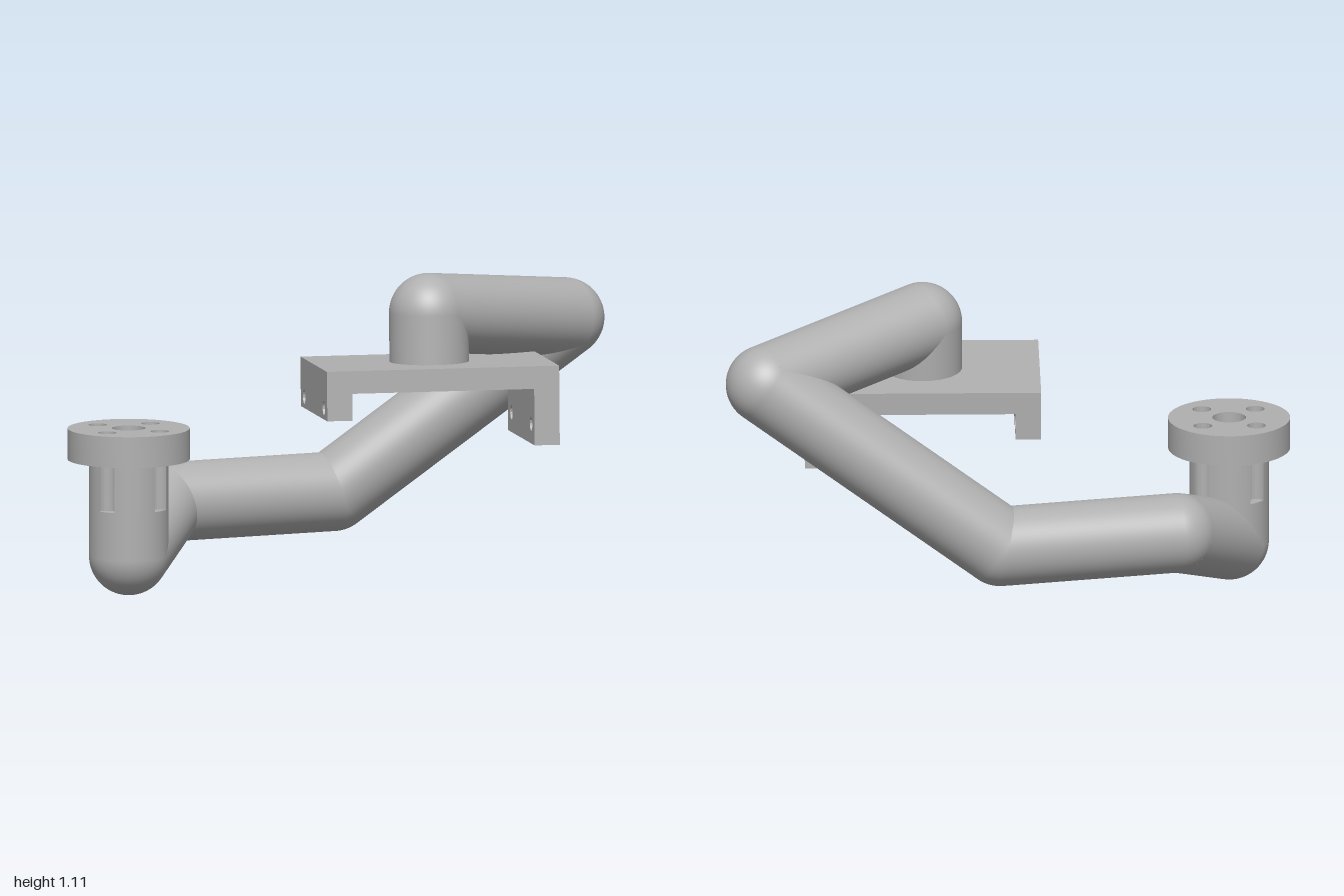
import * as THREE from 'three';
import { toCreasedNormals } from 'three/addons/utils/BufferGeometryUtils.js';

const grey = new THREE.MeshStandardMaterial({ color: 0xb0b0b0 });
grey.name = 'plain grey';
const R = 0.14; // tube radius

function add(parent, name, geometry) {
  const mesh = new THREE.Mesh(geometry, grey);
  mesh.name = name;
  parent.add(mesh);
  return mesh;
}

function extrude(shape, depth) {
  const g = new THREE.ExtrudeGeometry(shape, { depth, bevelEnabled: false, curveSegments: 32 });
  return toCreasedNormals(g, 0.6);
}

function hole(shape, x, y, r) {
  const path = new THREE.Path();
  path.absarc(x, y, r, 0, Math.PI * 2, true);
  shape.holes.push(path);
}

// Straight round tube between two points
function tube(parent, name, a, b) {
  const dir = b.clone().sub(a);
  const mesh = add(parent, name, new THREE.CylinderGeometry(R, R, dir.length(), 64));
  mesh.position.copy(a).add(b).multiplyScalar(0.5);
  mesh.quaternion.setFromUnitVectors(new THREE.Vector3(0, 1, 0), dir.normalize());
}

// Bracket leg: side plate with two cross holes, extruded along x
function bracketLeg(parent, name, xMax, bottom, holeY) {
  const s = new THREE.Shape();
  s.moveTo(-0.2625, bottom);
  s.lineTo(0.2625, bottom);
  s.lineTo(0.2625, -0.08);
  s.lineTo(-0.2625, -0.08);
  s.closePath();
  for (const z of [-0.195, 0.195]) hole(s, z, holeY, 0.025);
  add(parent, name, extrude(s, 0.09).rotateY(-Math.PI / 2).translate(xMax, 0, 0));
}

export function createModel() {
  const model = new THREE.Group();
  model.name = 'bentTubeArm';

  // Bent tube: straight runs with ball elbows
  const arm = new THREE.Group();
  arm.name = 'arm';
  model.add(arm);
  const path = [
    [-0.785, 0.315, 0.185], [-0.785, 0.145, 0.185], [-0.595, 0.28, -0.145],
    [0.03, 0.28, -0.285], [0.855, 0.88, -0.27], [0.295, 0.973, 0.143], [0.295, 0.79, 0.153],
  ].map((p) => new THREE.Vector3(...p));
  for (let i = 0; i < path.length - 1; i++) {
    tube(arm, `tubeSection${i + 1}`, path[i], path[i + 1]);
    if (i > 0) add(arm, `elbow${i}`, new THREE.SphereGeometry(R, 64, 32)).position.copy(path[i]);
  }

  // Mounting end: fluted post under a drilled flange
  const mount = new THREE.Group();
  mount.name = 'mount';
  mount.position.set(-0.785, 0, 0.185);
  model.add(mount);

  const boltRing = 0.133, boltR = 0.033;
  const post = new THREE.Shape();
  const flange = new THREE.Shape();
  flange.absarc(0, 0, 0.215, 0, Math.PI * 2, false);
  hole(flange, 0, 0, 0.059);
  const d = Math.acos((R * R + boltRing ** 2 - boltR ** 2) / (2 * R * boltRing));
  const a = Math.atan2(R * Math.sin(d), R * Math.cos(d) - boltRing);
  for (let k = 0; k < 4; k++) {
    const phi = Math.PI / 4 + k * Math.PI / 2;
    const x = boltRing * Math.cos(phi), y = boltRing * Math.sin(phi);
    post.absarc(0, 0, R, phi - Math.PI / 2 + d, phi - d, false);
    post.absarc(x, y, boltR, phi - a, phi + a, true); // bolt groove
    hole(flange, x, y, boltR);
  }
  add(mount, 'flutedPost', extrude(post, 0.175).rotateX(-Math.PI / 2).translate(0, 0.315, 0));
  add(mount, 'flange', extrude(flange, 0.11).rotateX(-Math.PI / 2).translate(0, 0.488, 0));

  // Slightly tilted bracket with one short and one long leg
  const bracket = new THREE.Group();
  bracket.name = 'bracket';
  bracket.position.set(0.297, 0.802, 0.153);
  bracket.rotation.x = -0.0465;
  model.add(bracket);
  add(bracket, 'bracketPlate', new THREE.BoxGeometry(0.83, 0.08, 0.525).translate(0, -0.04, 0));
  bracketLeg(bracket, 'shortLeg', -0.325, -0.175, -0.135);
  bracketLeg(bracket, 'longLeg', 0.415, -0.28, -0.21);

  return model;
}
